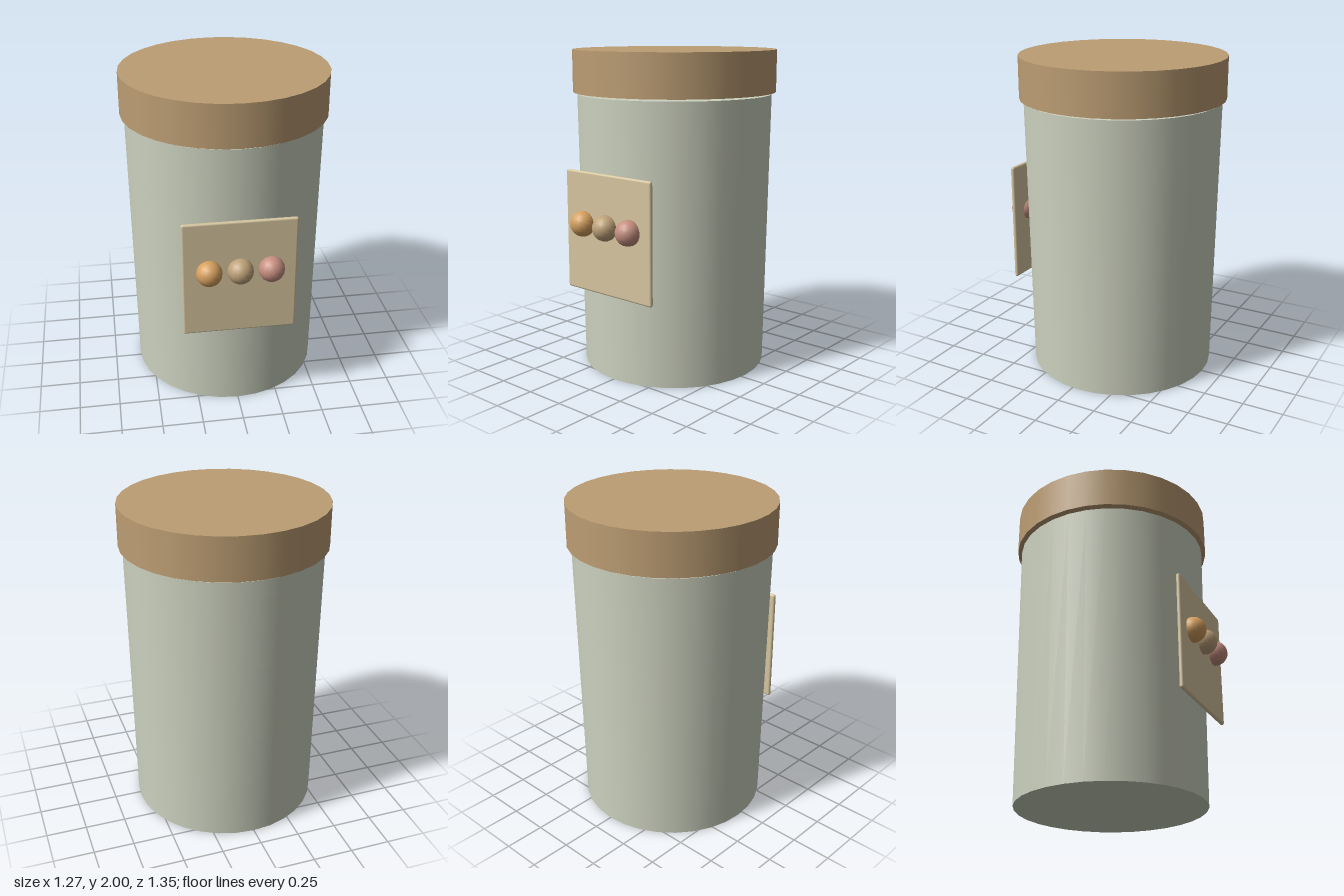
import * as THREE from 'three';
import { RoundedBoxGeometry } from 'three/addons/geometries/RoundedBoxGeometry.js';

const material = (name, color) => {
  const m = new THREE.MeshStandardMaterial({ color });
  m.name = name;
  return m;
};

export function createModel() {
  const group = new THREE.Group();
  group.name = 'canister';

  const add = (name, geometry, mat, x, y, z) => {
    const mesh = new THREE.Mesh(geometry, mat);
    mesh.name = name;
    mesh.position.set(x, y, z);
    group.add(mesh);
  };

  const axisZ = -0.041;

  // Tapered jar and the overhanging lid, separated by a hairline gap
  add('body', new THREE.CylinderGeometry(0.607, 0.583, 1.727, 32),
    material('sage glaze', 0xcdd2bf), 0, 0.8635, axisZ);
  add('lid', new THREE.CylinderGeometry(0.633, 0.633, 0.26, 32),
    material('wood', 0xbc9d73), 0, 1.87, axisZ);

  // Flat label with softened edges
  add('label', new RoundedBoxGeometry(0.684, 0.742, 0.026, 2, 0.012),
    material('cream', 0xd6c69f), 0, 0.916, 0.567);

  // Row of three beads on the label
  const beadGeometry = new THREE.SphereGeometry(0.078, 16, 12);
  const beads = [
    ['rightBead', 'amber', 0xd6a05f],
    ['middleBead', 'tan', 0xbfa279],
    ['leftBead', 'dusty pink', 0xc68f80],
  ];
  beads.forEach(([name, colorName, color], i) => {
    add(name, beadGeometry, material(colorName, color), (i - 1) * 0.185, 0.97, 0.597);
  });

  return group;
}
